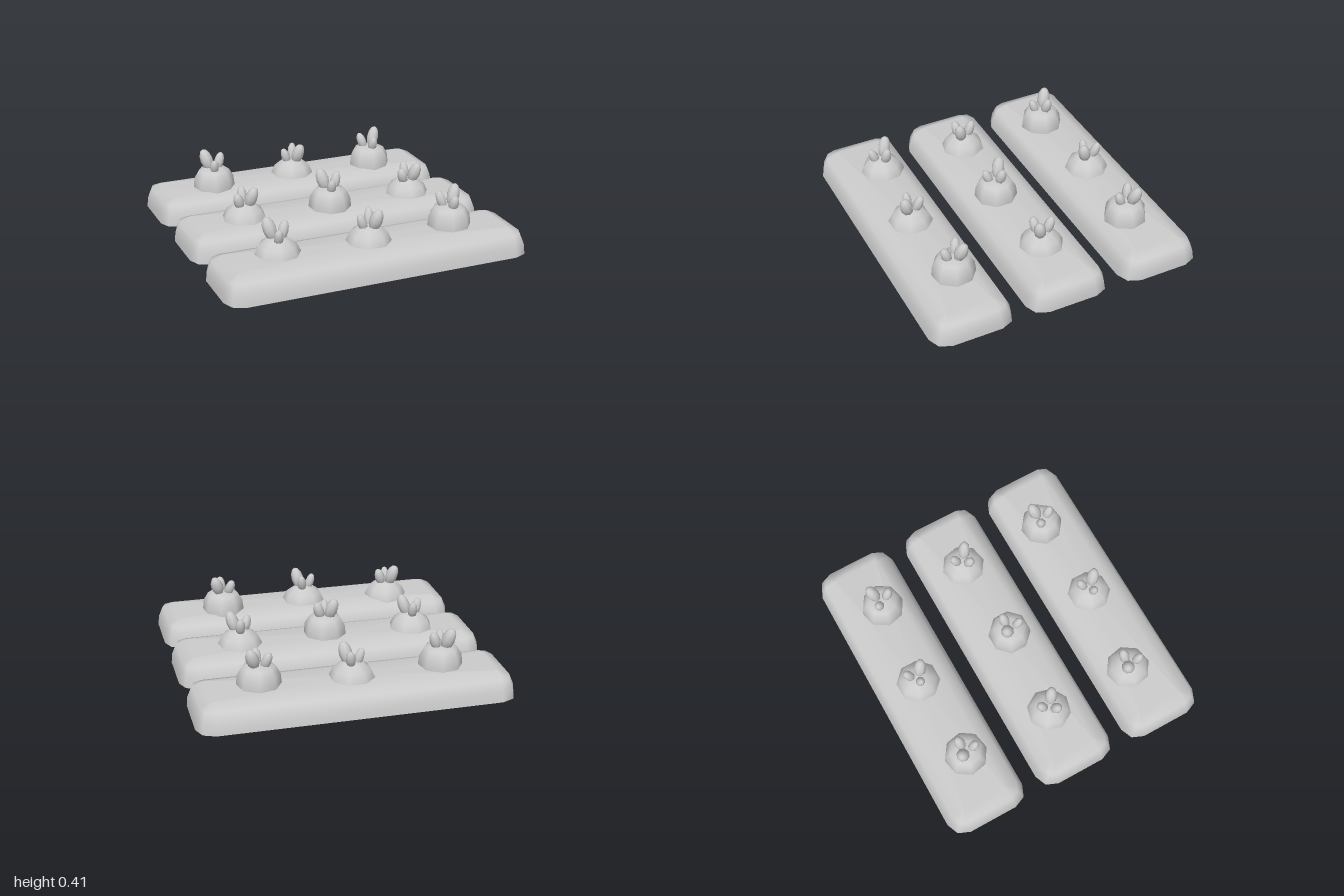
import * as THREE from 'three';

const material = new THREE.MeshStandardMaterial({ color: 0xcccccc, side: THREE.DoubleSide });

// Hollow soil bed: rounded-rectangle loops stacked upward, closed by a flat top
function bedGeometry() {
  // [height, corner radius, half depth of the inner core]
  const profile = [[0, 0.11, 0.163], [0.065, 0.105, 0.157], [0.13, 0.078, 0.153], [0.16, 0.004, 0.147]];
  const corners = [[1, 1], [-1, 1], [-1, -1], [1, -1]];
  const positions = [], index = [];
  for (const [y, r, coreZ] of profile) {
    corners.forEach(([sx, sz], c) => {
      for (let k = 0; k <= 2; k++) {
        const a = (c + k / 2) * Math.PI / 2;
        positions.push(sx * 0.89 + r * Math.cos(a), y, sz * coreZ + r * Math.sin(a));
      }
    });
  }
  const n = 12, last = (profile.length - 1) * n;
  for (let j = 0; j < profile.length - 1; j++) {
    for (let i = 0; i < n; i++) {
      const a = j * n + i, b = j * n + (i + 1) % n;
      index.push(a, a + n, b, b, a + n, b + n);
    }
  }
  const centre = positions.length / 3;
  positions.push(0, 0.16, 0);
  for (let i = 0; i < n; i++) index.push(last + i, centre, last + (i + 1) % n);
  const geometry = new THREE.BufferGeometry();
  geometry.setAttribute('position', new THREE.Float32BufferAttribute(positions, 3));
  geometry.setIndex(index);
  geometry.computeVertexNormals();
  return geometry;
}

// Eight-sided soil mounds, open underneath: [radius, height]
const moundProfiles = {
  tall: [[0.139, 0.145], [0.139, 0.165], [0.132, 0.225], [0.103, 0.275], [0.06, 0.29], [0, 0.293]],
  low: [[0.145, 0.145], [0.142, 0.165], [0.118, 0.215], [0.07, 0.25], [0.03, 0.26], [0, 0.262]],
};

// Sprout leaf clusters: [x, z, radius, half length, height of middle above the mound top]
const clusters = {
  left: [[-0.037, -0.035, 0.045, 0.078, 0.045], [0.043, -0.015, 0.036, 0.066, 0.03], [-0.011, 0.053, 0.032, 0.06, 0.015]],
  middle: [[0.021, -0.048, 0.033, 0.064, 0.03], [-0.045, 0, 0.032, 0.062, 0.02], [0.032, 0.037, 0.044, 0.076, 0.04]],
  right: [[-0.043, -0.032, 0.034, 0.062, 0.025], [0.043, -0.034, 0.043, 0.076, 0.045], [0.005, 0.048, 0.034, 0.06, 0.02]],
  spread: [[0.004, -0.05, 0.034, 0.064, 0.03], [-0.043, 0.024, 0.036, 0.062, 0.02], [0.04, 0.032, 0.042, 0.074, 0.04]],
};

// Plants: [x, z, mound type, turn in degrees, cluster]
const plants = [
  [-0.58, -0.61, 'tall', 11, 'left'], [0, -0.645, 'low', 22.5, 'middle'], [0.573, -0.607, 'tall', 8, 'right'],
  [-0.58, 0, 'low', -8, 'spread'], [0, 0.033, 'tall', 22.5, 'left'], [0.572, 0, 'low', 10, 'spread'],
  [-0.58, 0.594, 'low', 11, 'left'], [0, 0.64, 'low', 22.5, 'middle'], [0.573, 0.604, 'tall', 15, 'right'],
];

function createPlant([x, z, type, turn, cluster]) {
  const plant = new THREE.Group();
  plant.name = 'plant';
  plant.position.set(x, 0, z);

  const profile = moundProfiles[type];
  const points = profile.map(([r, y]) => new THREE.Vector2(r, y));
  const mound = new THREE.Mesh(new THREE.LatheGeometry(points, 8), material);
  mound.name = 'soilMound';
  mound.rotation.y = -turn * Math.PI / 180;
  plant.add(mound);

  // Plump leaves leaning away from the centre
  const top = profile[profile.length - 1][1];
  const up = new THREE.Vector3(0, 1, 0);
  for (const [lx, lz, r, half, lift] of clusters[cluster]) {
    const leaf = new THREE.Mesh(new THREE.SphereGeometry(1, 8, 6), material);
    leaf.name = 'leaf';
    leaf.scale.set(r * 0.95, half, r * 0.95);
    leaf.position.set(lx, top + lift, lz);
    const lean = new THREE.Vector3(lx, 0.13, lz).normalize();
    leaf.quaternion.setFromUnitVectors(up, lean);
    plant.add(leaf);
  }
  return plant;
}

export function createModel() {
  const model = new THREE.Group();
  model.name = 'plantedBeds';

  // Three parallel beds
  const geometry = bedGeometry();
  for (const z of [-0.645, 0, 0.645]) {
    const bed = new THREE.Mesh(geometry, material);
    bed.name = 'soilBed';
    bed.position.z = z;
    model.add(bed);
  }

  for (const spec of plants) model.add(createPlant(spec));
  return model;
}
